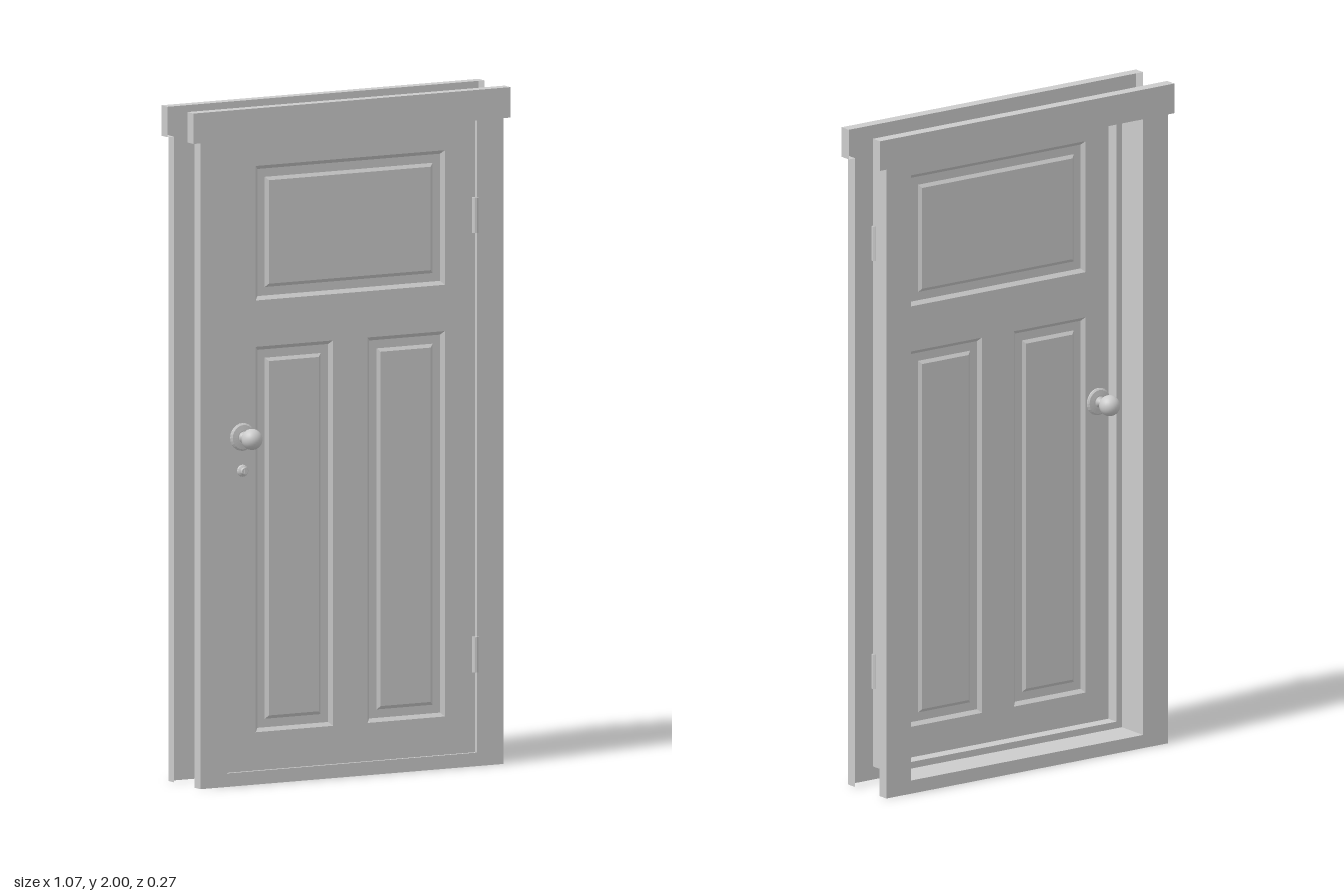
import * as THREE from 'three';

const flat = new THREE.MeshStandardMaterial({ color: 0xcccccc, flatShading: true, side: THREE.DoubleSide });
const smooth = new THREE.MeshStandardMaterial({ color: 0xcccccc, side: THREE.DoubleSide });

// Door opening and the two trim plates
const OPEN = { x0: -0.42, x1: 0.42, y0: 0.04, y1: 1.91 };
const TRIM_FRONT = 0.055, TRIM_BACK = -0.135, TRIM_DEPTH = 0.035;
const DOOR_FRONT = 0.045, DOOR_BACK = 0.01;

function add(parent, name, geometry, material = flat) {
  const mesh = new THREE.Mesh(geometry, material);
  mesh.name = name;
  parent.add(mesh);
  return mesh;
}

// Corners of a rectangle pulled in by an inset, counter-clockwise
function corners(r, inset = 0) {
  const x0 = r.x0 + inset, x1 = r.x1 - inset, y0 = r.y0 + inset, y1 = r.y1 - inset;
  return [[x0, y0], [x1, y0], [x1, y1], [x0, y1]];
}

const toPoints = (list) => list.map(([x, y]) => new THREE.Vector2(x, y));

function quadGeometry(quads) {
  const pos = [];
  for (const [a, b, c, d] of quads) pos.push(...a, ...b, ...c, ...a, ...c, ...d);
  const g = new THREE.BufferGeometry();
  g.setAttribute('position', new THREE.Float32BufferAttribute(pos, 3));
  g.computeVertexNormals();
  return g;
}

// Skin through rectangular rings given as [rectangle, inset, z]
function rectLoft(steps, capped) {
  const rings = steps.map(([r, inset, z]) => corners(r, inset).map(([x, y]) => [x, y, z]));
  const quads = [];
  for (let k = 0; k < rings.length - 1; k++) {
    for (let i = 0; i < 4; i++) {
      const j = (i + 1) % 4;
      quads.push([rings[k][i], rings[k][j], rings[k + 1][j], rings[k + 1][i]]);
    }
  }
  if (capped) quads.push(rings[rings.length - 1]);
  return quadGeometry(quads);
}

// Casing: a plate around the opening with a wider head, open towards the wall and floor
function makeTrim(name) {
  const g = new THREE.Group();
  g.name = name;
  const outline = [[-0.51, 0], [0.51, 0], [0.51, 1.91], [0.533, 1.91],
    [0.533, 2], [-0.533, 2], [-0.533, 1.91], [-0.51, 1.91]];
  const shape = new THREE.Shape(toPoints(outline));
  shape.holes.push(new THREE.Path(toPoints(corners(OPEN))));
  add(g, 'trimFace', new THREE.ShapeGeometry(shape));
  const walls = [];
  for (let i = 1; i < outline.length; i++) {
    const a = outline[i], b = outline[(i + 1) % outline.length];
    walls.push([[...a, -TRIM_DEPTH], [...b, -TRIM_DEPTH], [...b, 0], [...a, 0]]);
  }
  add(g, 'trimEdges', quadGeometry(walls));
  return g;
}

// One side of the door: flat rails with three recessed, raised-centre panels
function makeDoorFace(name) {
  const g = new THREE.Group();
  g.name = name;
  const panels = [
    { x0: -0.318, x1: 0.318, y0: 1.43, y1: 1.828 },
    { x0: -0.318, x1: -0.058, y0: 0.153, y1: 1.293 },
    { x0: 0.058, x1: 0.318, y0: 0.153, y1: 1.293 },
  ];
  const shape = new THREE.Shape(toPoints(corners(OPEN)));
  for (const p of panels) shape.holes.push(new THREE.Path(toPoints(corners(p))));
  add(g, 'stilesAndRails', new THREE.ShapeGeometry(shape));
  for (const p of panels) {
    add(g, 'panel', rectLoft([
      [p, 0, 0], [p, 0.011, -0.01], [p, 0.036, -0.01], [p, 0.046, -0.003],
    ], true));
  }
  return g;
}

// Turned parts: profile as [radius, height], axis turned to +z
function turned(profile, segments = 24) {
  return new THREE.LatheGeometry(toPoints(profile), segments).rotateX(Math.PI / 2);
}

function makeKnob(name) {
  const g = new THREE.Group();
  g.name = name;
  add(g, 'rosette', turned([[0.041, 0], [0.041, 0.003], [0.036, 0.007], [0.02, 0.009], [0, 0.009]]));
  add(g, 'neck', turned([[0.018, 0.008], [0.011, 0.015], [0.008, 0.021], [0.009, 0.028], [0.014, 0.034]]), smooth);
  const ball = add(g, 'knobBall', new THREE.SphereGeometry(0.031, 24, 16), smooth);
  ball.position.z = 0.057;
  return g;
}

function makeLock() {
  const g = new THREE.Group();
  g.name = 'lock';
  add(g, 'lockCollar', turned([[0.018, 0], [0.017, 0.006], [0.011, 0.01], [0.01, 0.016], [0, 0.016]], 16));
  const slot = add(g, 'keySlot', new THREE.BoxGeometry(0.004, 0.012, 0.003));
  slot.position.z = 0.017;
  return g;
}

export function createModel() {
  const model = new THREE.Group();
  model.name = 'door';

  // Casing on both sides of the wall
  const frontTrim = makeTrim('frontTrim');
  frontTrim.position.z = TRIM_FRONT;
  const backTrim = makeTrim('backTrim');
  backTrim.rotation.y = Math.PI;
  backTrim.position.z = TRIM_BACK;
  model.add(frontTrim, backTrim);

  // Jamb lining with the raised stop behind the door
  add(model, 'jamb', rectLoft([
    [OPEN, 0, TRIM_FRONT], [OPEN, 0, DOOR_BACK], [OPEN, 0.02, DOOR_BACK],
    [OPEN, 0.02, -0.03], [OPEN, 0, -0.03], [OPEN, 0, TRIM_BACK],
  ], false));

  // Door leaf, each side with its knob; the lock is on the front
  const front = makeDoorFace('doorFront');
  front.position.z = DOOR_FRONT;
  const back = makeDoorFace('doorBack');
  back.rotation.y = Math.PI;
  back.position.z = DOOR_BACK;
  const frontKnob = makeKnob('frontKnob');
  frontKnob.position.set(-0.363, 1.03, 0);
  const lock = makeLock();
  lock.position.set(-0.363, 0.93, 0);
  front.add(frontKnob, lock);
  const backKnob = makeKnob('backKnob');
  backKnob.position.set(0.363, 1.03, 0);
  back.add(backKnob);
  model.add(front, back);

  // Hinge barrels
  for (const y of [0.33, 1.63]) {
    const hinge = add(model, 'hinge', new THREE.CylinderGeometry(0.01, 0.01, 0.105, 12));
    hinge.position.set(0.416, y, 0.052);
  }
  return model;
}
